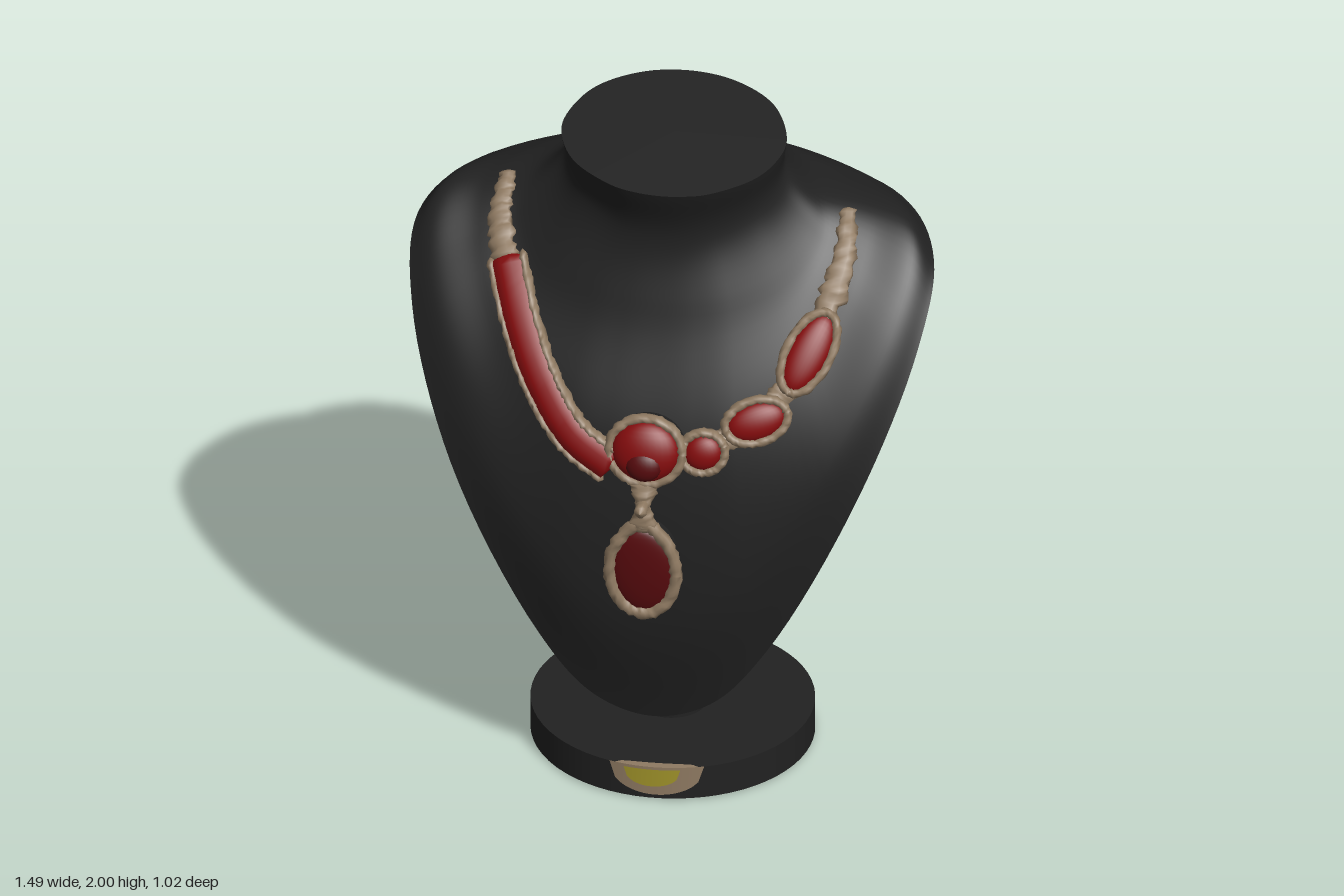
import * as THREE from 'three';

const V = (x, y, z) => new THREE.Vector3(x, y, z);
const material = (name, color) => Object.assign(new THREE.MeshStandardMaterial({ color }), { name });

// Seeded noise in -1..1
const noise = (i, j) => {
  const s = Math.sin(i * 12.99 + j * 78.23) * 43758.55;
  return 2 * (s - Math.floor(s)) - 1;
};

// Skin over rows of points; every row is a closed loop
function skin(rows) {
  const n = rows[0].length, index = [];
  for (let j = 0; j < rows.length - 1; j++) {
    for (let i = 0; i < n; i++) {
      const a = j * n + i, b = j * n + (i + 1) % n;
      index.push(a, a + n, b, b, a + n, b + n);
    }
  }
  const g = new THREE.BufferGeometry().setFromPoints(rows.flat());
  g.setIndex(index);
  g.computeVertexNormals();
  return g;
}

// Sweep an oval section along a curve, lying flat against the given normals
function sweep(curve, steps, normalAt, width, height, rough = 0, offset = 0) {
  const rows = [], sides = 10;
  for (let j = 0; j <= steps; j++) {
    const t = j / steps, p = curve.getPoint(t), n = normalAt(p);
    const side = curve.getTangent(t).cross(n).normalize();
    p.addScaledVector(side, offset);
    const end = !curve.closed && (j === 0 || j === steps) ? 0.05 : 1;
    rows.push(Array.from({ length: sides }, (_, i) => {
      const a = i / sides * Math.PI * 2;
      const k = end * (1 + rough * noise(i, curve.closed ? j % steps : j));
      return p.clone().addScaledVector(side, Math.cos(a) * width(t) * k)
        .addScaledVector(n, Math.sin(a) * height * k);
    }));
  }
  return skin(rows);
}

export function createModel() {
  const model = new THREE.Group();
  model.name = 'necklaceDisplay';
  const black = material('blackVelvet', 0x212121);
  const tan = material('antiqueGold', 0x8f7a62);
  const red = material('redStone', 0x840c0d);
  const darkRed = material('darkRedStone', 0x560a0d);
  const yellow = material('yellowLabel', 0xa0932a);
  const add = (name, geometry, mat, parent = model) => {
    const m = new THREE.Mesh(geometry, mat);
    m.name = name;
    parent.add(m);
    return m;
  };

  // Bust: rings from neck lip to rim, each listed front to back on one side
  const lip = [0, 0.22, 0.45, 0.95, 1.35, 1.65, 2.2, 2.7, Math.PI].map(a =>
    [0.318 * Math.sin(a), 1.945 - 0.055 * Math.cos(a), -0.055 + 0.25 * Math.cos(a)]);
  const rings = [
    lip,
    [[0, 1.72, .14], [.08, 1.725, .133], [.15, 1.74, .11], [.255, 1.78, .05], [.305, 1.81, -.03], [.31, 1.86, -.1], [.24, 1.86, -.25], [.13, 1.85, -.34], [0, 1.85, -.355]],
    [[0, 1.5, .2], [.1, 1.505, .194], [.2, 1.52, .172], [.34, 1.57, .1], [.42, 1.67, -.02], [.4, 1.745, -.11], [.31, 1.76, -.29], [.16, 1.77, -.39], [0, 1.77, -.405]],
    [[0, 1.12, .355], [.12, 1.14, .347], [.24, 1.19, .32], [.43, 1.35, .21], [.54, 1.58, .03], [.54, 1.7, -.13], [.42, 1.71, -.32], [.21, 1.72, -.43], [0, 1.73, -.44]],
    [[0, .62, .39], [.14, .66, .388], [.28, .78, .37], [.51, 1.14, .283], [.66, 1.49, .085], [.67, 1.665, -.11], [.52, 1.67, -.34], [.25, 1.68, -.475], [0, 1.69, -.475]],
    [[0, .245, .31], [.165, .3, .31], [.325, .49, .31], [.58, 1, .275], [.72, 1.4, .1], [.735, 1.59, -.08], [.6, 1.635, -.33], [.29, 1.65, -.485], [0, 1.65, -.51]],
  ].map(half => {
    const mirrored = half.slice(1, -1).reverse().map(([x, y, z]) => [-x, y, z]);
    return new THREE.CatmullRomCurve3([...half, ...mirrored].map(p => V(...p)), true);
  });
  const cols = 128, steps = 50;
  const meridians = Array.from({ length: cols }, (_, i) =>
    new THREE.CatmullRomCurve3(rings.map(r => r.getPoint(i / cols))));
  const outer = Array.from({ length: steps + 1 }, (_, j) => meridians.map(m => m.getPoint(j / steps)));
  const bust = add('bust', skin(outer), black).geometry;
  const fill = p => Array(cols).fill(p);
  add('neckTop', skin([fill(V(0, 1.952, -0.055)), outer[0]]), black);

  // Hollow inside, rim and ceiling under the neck; the wall thins to the back
  const normals = bust.attributes.normal;
  const inner = outer.map((row, j) => row.map((p, i) => p.clone().addScaledVector(
    V().fromBufferAttribute(normals, j * cols + i), -0.022 - 0.012 * Math.cos(i / cols * Math.PI * 2))));
  add('rim', skin([outer[steps], inner[steps]]), black);
  add('lining', skin(inner.slice(12).reverse()), black);
  add('ceiling', skin([inner[12], fill(V(0, 1.77, -0.1))]), black);

  // Nearest bust point and normal
  const flat = outer.flat();
  const nearest = p => {
    let best = 0, d = Infinity;
    flat.forEach((q, k) => {
      const e = q.distanceToSquared(p);
      if (e < d) { d = e; best = k; }
    });
    return { point: flat[best], normal: V().fromBufferAttribute(normals, best) };
  };
  const normalAt = p => nearest(p).normal;
  const onBust = ([x, y, z, lift]) => {
    const p = V(x, y, z), { point, normal } = nearest(p);
    return p.addScaledVector(normal, lift - p.clone().sub(point).dot(normal));
  };
  const path = pts => new THREE.CatmullRomCurve3(pts.map(onBust));

  // Stand
  add('post', new THREE.CylinderGeometry(0.1, 0.1, 1.46, 40), black).position.set(0, 0.82, -0.01);
  const base = new THREE.Group();
  base.name = 'base';
  base.position.z = -0.03;
  base.scale.z = 0.97;
  model.add(base);
  add('baseDisc', new THREE.CylinderGeometry(0.4, 0.4, 0.1, 64), black, base).position.y = 0.055;
  add('baseFoot', new THREE.CylinderGeometry(0.39, 0.39, 0.01, 64), black, base).position.y = 0.005;

  // Thin label patches wrapped on the base side, or laid on its top
  function patch(name, angle, half, top, depth, lift, mat, onTop) {
    const n = 16, g = new THREE.CylinderGeometry(1, 1, 1, n, 1, true, angle - half, half * 2);
    const p = g.attributes.position;
    for (let k = 0; k < p.count; k++) {
      const upper = k <= n, s = (k % (n + 1)) / n * 2 - 1;
      const d = depth * Math.pow(Math.max(0, 1 - s * s), 0.4);
      const r = 0.4 + lift - (onTop && upper ? d : 0);
      const y = onTop ? 0.105 + lift : top - (upper ? 0 : d);
      p.setXYZ(k, p.getX(k) * r, y, p.getZ(k) * r);
    }
    g.computeVertexNormals();
    add(name, g, mat, base);
  }
  const back = Math.PI + 0.17;
  patch('frontLabel', 0.05, 0.34, 0.107, 0.09, 0.002, tan);
  patch('frontLabelTop', 0.05, 0.3, 0, 0.025, 0.002, tan, true);
  patch('frontLabelCentre', 0.02, 0.2, 0.1, 0.055, 0.005, yellow);
  patch('backLabel', back, 0.3, 0.107, 0.082, 0.002, tan);
  patch('backLabelTop', back, 0.3, 0, 0.06, 0.002, tan, true);
  patch('backLabelCentre', back, 0.1, 0.065, 0.035, 0.005, yellow);

  // Framed oval stone: x axis along dir, z axis along normal
  function stone(name, pos, normal, dir, rx, ry, depth, mat, frame, backing = 0, point = 0) {
    const g = new THREE.Group();
    g.name = name;
    const z = normal.clone().normalize(), y = z.clone().cross(dir).normalize();
    g.quaternion.setFromRotationMatrix(new THREE.Matrix4().makeBasis(y.clone().cross(z), y, z));
    g.position.copy(pos);
    model.add(g);
    add('gem', new THREE.SphereGeometry(1, 32, 16), mat, g).scale.set(rx, ry, depth);
    const outline = Array.from({ length: 24 }, (_, i) => {
      const a = i / 24 * Math.PI * 2, s = Math.sin(a);
      return V(Math.cos(a) * (rx + 0.006), s * (ry + 0.006) + point * Math.max(0, s) ** 6, 0.003);
    });
    add('frame', sweep(new THREE.CatmullRomCurve3(outline, true), 56, () => V(0, 0, 1),
      () => frame, 0.018, 0.22), tan, g);
    if (backing) {
      const b = add('backing', new THREE.CylinderGeometry(1, 1, 1, 32).rotateX(Math.PI / 2), black, g);
      b.scale.set(rx + 0.005, ry + 0.005, backing);
      b.position.z = -backing / 2;
    }
    return g;
  }

  // Right strand: one long red band between rough edges
  const rightTip = path([[-.475, 1.705, -.13, .012], [-.485, 1.64, -.04, .012], [-.455, 1.55, .07, .015]]);
  add('rightChain', sweep(rightTip, 30, normalAt, t => 0.024 + 0.016 * t, 0.018, 0.25), tan);
  const band = path([[-.455, 1.57, .06, .015], [-.39, 1.425, .19, .02], [-.31, 1.29, .27, .03],
    [-.205, 1.175, .33, .05], [-.09, 1.11, .36, .065]]);
  add('rightBand', sweep(band, 48, normalAt, () => 0.05, 0.028), red);
  for (const s of [-1, 1]) {
    add('rightBandEdge', sweep(band, 60, normalAt, () => 0.012, 0.02, 0.3, s * 0.048), tan);
  }

  // Left strand: chain with three framed stones
  const chain = path([[.48, 1.695, -.12, .012], [.492, 1.62, .0, .012], [.46, 1.5, .12, .012],
    [.38, 1.34, .25, .015], [.29, 1.245, .3, .02], [.17, 1.175, .34, .04], [.09, 1.15, .35, .05]]);
  add('leftChain', sweep(chain, 80, normalAt, t => t < 0.3 ? 0.022 + 0.06 * t : 0.034, 0.018, 0.25), tan);
  for (const [x, y, z, lift, dx, dy, rx, ry] of [
    [.425, 1.415, .19, .022, -.4, -.9, .118, .056],
    [.295, 1.247, .3, .03, 1, .4, .084, .054],
    [.155, 1.165, .33, .055, 1, .4, .056, .052],
  ]) {
    const p = onBust([x, y, z, lift]), n = normalAt(p);
    const dir = V(dx, dy, 0);
    dir.addScaledVector(n, -dir.dot(n));
    stone('leftStone', p, n, dir, rx, ry, 0.03, red, 0.013);
  }

  // Centre stone with darker inset
  const centre = stone('centreStone', V(0, 1.178, 0.405), V(0, 0.25, 1), V(1, 0, 0), 0.098, 0.09, 0.05, red, 0.014, 0.06);
  const inset = add('centreInset', new THREE.SphereGeometry(1, 24, 12), darkRed, centre);
  inset.scale.set(0.052, 0.048, 0.03);
  inset.position.set(0, -0.034, 0.028);

  // Bail with front pin, and hanging pendant
  const bail = new THREE.CatmullRomCurve3([V(0, 1.1, .42), V(0, 1.05, .445), V(0, 1, .455), V(0, .94, .455)]);
  add('bail', sweep(bail, 20, () => V(0, 0, 1), t => 0.05 - 0.03 * Math.sin(Math.PI * Math.min(t, 0.8)) ** 2, 0.022, 0.2), tan);
  const pin = new THREE.CatmullRomCurve3([V(0, 1.03, .43), V(0, 1.03, .47), V(0, 1.03, .51)]);
  add('bailPin', sweep(pin, 8, () => V(0, 1, 0), t => 0.026 - 0.012 * t, 0.018, 0.15), tan);
  stone('pendant', V(0, 0.813, 0.455), V(0, 0, 1), V(1, 0, 0), 0.088, 0.13, 0.022, darkRed, 0.018, 0.065, 0.02);

  return model;
}
